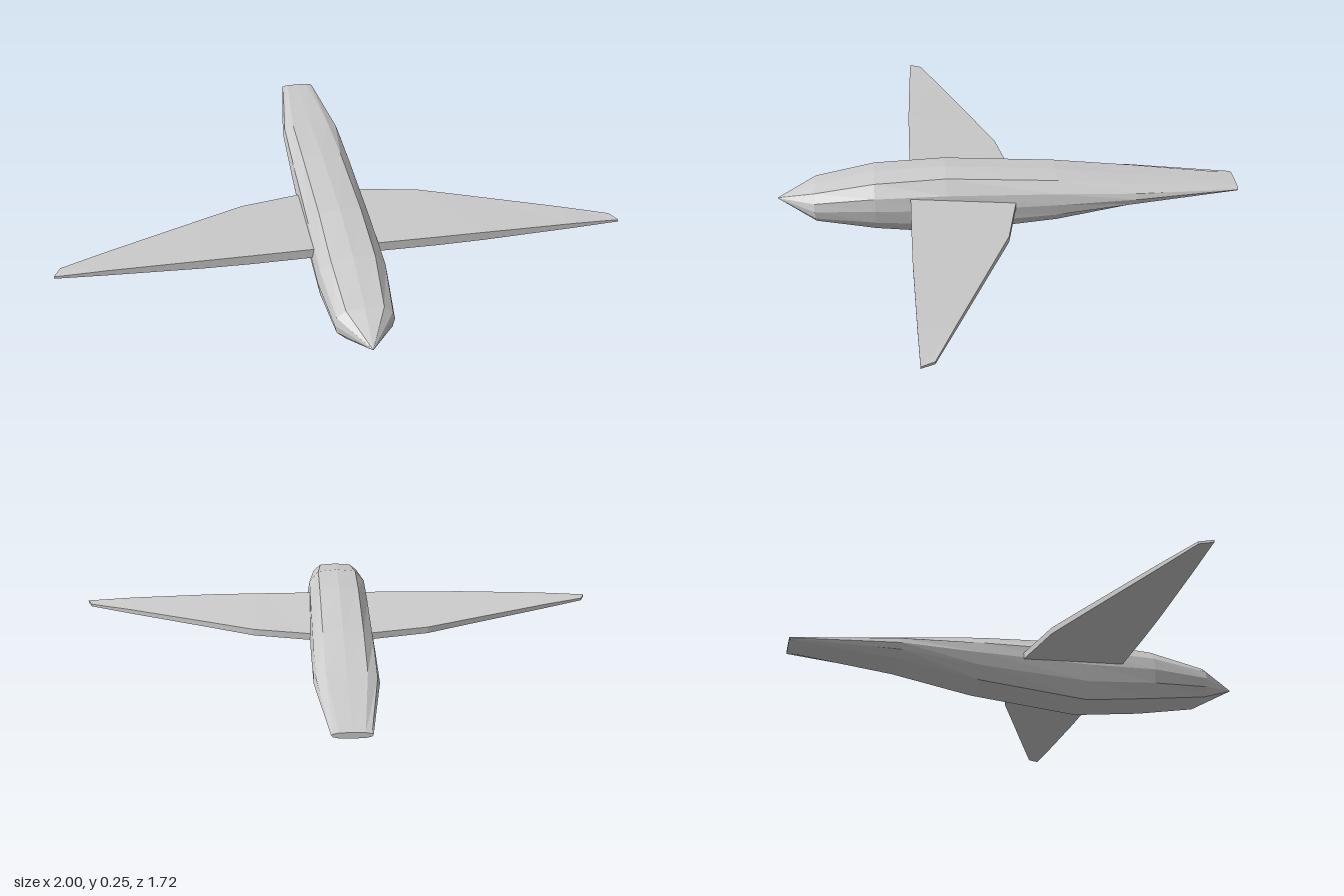
import * as THREE from 'three';

// Skin a row of closed cross-sections (counter-clockwise seen from the end the row runs towards)
function loft(sections) {
  const n = sections[0].length, pos = sections.flat(2), idx = [];
  for (let s = 0; s < sections.length - 1; s++) {
    for (let i = 0; i < n; i++) {
      const a = s * n + i, b = s * n + (i + 1) % n;
      idx.push(a, b, b + n, a, b + n, a + n);
    }
  }
  const last = (sections.length - 1) * n;
  for (let i = 1; i < n - 1; i++) {
    idx.push(0, i + 1, i, last, last + i, last + i + 1);
  }
  const geo = new THREE.BufferGeometry();
  geo.setAttribute('position', new THREE.Float32BufferAttribute(pos, 3));
  geo.setIndex(idx);
  const flat = geo.toNonIndexed();
  flat.computeVertexNormals();
  return flat;
}

export function createModel() {
  const group = new THREE.Group();
  const material = new THREE.MeshStandardMaterial({ color: 0xcccccc, flatShading: true, side: THREE.DoubleSide });

  // Fuselage stations, tail to nose: z, half width, bottom, top
  const stations = [
    [-0.86, 0.065, 0.118, 0.138],
    [-0.47, 0.112, 0.09, 0.18],
    [-0.17, 0.117, 0.036, 0.22],
    [0.24, 0.12, 0, 0.253],
    [0.5, 0.121, 0.036, 0.243],
    [0.72, 0.1, 0.076, 0.203],
    [0.86, 0.001, 0.147, 0.149],
  ];
  // Right half of the unit ring, bottom to top; mirrored for the other side
  const half = [[0, -1], [0.63, -0.93], [0.93, -0.46], [1, 0.05], [0.93, 0.52], [0.63, 0.93], [0, 1]];
  const ring = [...half, ...half.slice(1, -1).reverse().map(([x, y]) => [-x, y])];
  const body = loft(stations.map(([z, w, lo, hi]) =>
    ring.map(([x, y]) => [x * w, (lo + hi) / 2 + y * (hi - lo) / 2, z])));
  const fuselage = new THREE.Mesh(body, material);
  fuselage.name = 'fuselage';
  group.add(fuselage);

  // Wing stations, root to tip: front x, z, bottom, top, then rear x, z, bottom, top
  const wing = [
    [0, 0.37, 0.151, 0.187, 0, -0.035, 0.125, 0.151],
    [0.12, 0.37, 0.151, 0.187, 0.12, -0.013, 0.126, 0.151],
    [0.33, 0.37, 0.15, 0.186, 0.33, 0.03, 0.131, 0.155],
    [0.5, 0.369, 0.152, 0.185, 0.5, 0.103, 0.139, 0.16],
    [0.82, 0.361, 0.158, 0.178, 0.82, 0.241, 0.152, 0.168],
    [1, 0.355, 0.162, 0.17, 0.98, 0.31, 0.16, 0.169],
  ];
  const corners = ([fx, fz, fl, fh, rx, rz, rl, rh], side) => [
    [side * fx, fl, fz], [side * rx, rl, rz], [side * rx, rh, rz], [side * fx, fh, fz],
  ];
  for (const side of [1, -1]) {
    // Reversing the row keeps the faces outward on the mirrored wing
    const row = wing.map((s) => corners(s, side));
    const mesh = new THREE.Mesh(loft(side > 0 ? row : row.reverse()), material);
    mesh.name = side > 0 ? 'leftWing' : 'rightWing';
    group.add(mesh);
  }
  return group;
}
